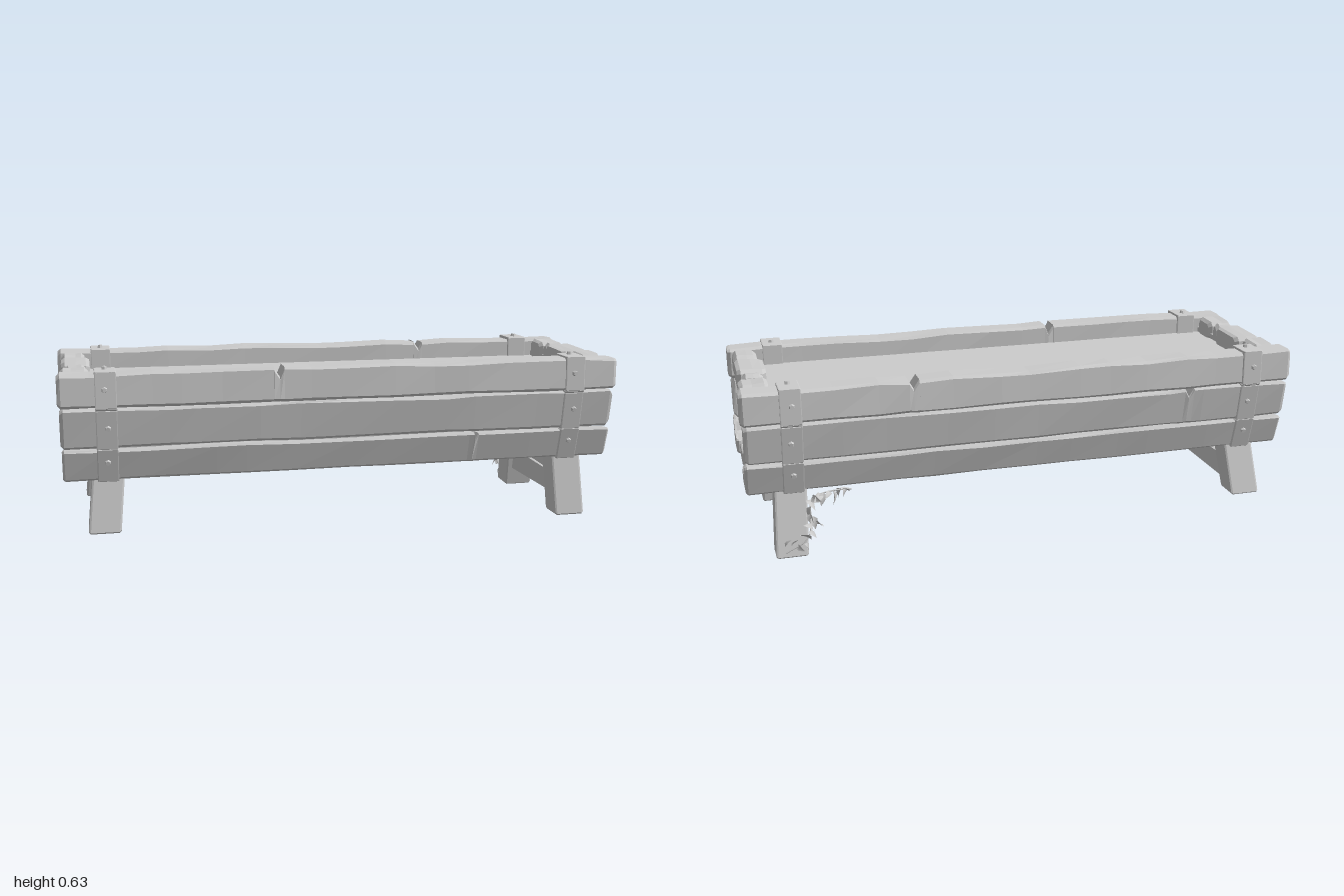
import * as THREE from 'three';

const wood = new THREE.MeshStandardMaterial({ color: 0xcccccc, flatShading: true });
const leafMat = new THREE.MeshStandardMaterial({ color: 0xcccccc, side: THREE.DoubleSide });

let seed = 7;
const rnd = () => (seed = (seed * 16807) % 2147483647) / 2147483647;
const jit = a => (rnd() * 2 - 1) * a;

// Cut each corner of a (z, y) outline, and make it run counter-clockwise
function bevel(profile, c) {
  const p = profile.map(([z, y]) => new THREE.Vector2(z, y));
  if (THREE.ShapeUtils.area(p) < 0) p.reverse();
  const out = [];
  p.forEach((v, i) => {
    for (const n of [p[(i + p.length - 1) % p.length], p[(i + 1) % p.length]]) {
      const d = n.clone().sub(v);
      out.push(v.clone().add(d.setLength(Math.min(c, d.length() * 0.3))));
    }
  });
  return out;
}

// Worn timber: a (z, y) outline lofted along x, with tapered ends, uneven edges and optional notches
function beam(name, profile, x0, x1, { segs = 1, wear = 0, c = 0.006, end = 0.006, notches = [], lean = 0 } = {}) {
  const p = bevel(profile, c);
  const mid = p.reduce((a, v) => a.add(v), new THREE.Vector2()).divideScalar(p.length);
  const xs = [x0, x0 + end, x1 - end, x1];
  for (let i = 1; i < segs; i++) xs.push(x0 + (x1 - x0) * (i + jit(0.25)) / segs);
  notches.forEach(n => xs.push(n - 0.02, n, n + 0.015));
  xs.sort((a, b) => a - b);
  const rows = xs.map(x => {
    const tip = x === x0 || x === x1;
    const dy = jit(wear);
    return p.map(v => {
      const q = v.clone().sub(mid);
      if (tip) q.setLength(Math.max(q.length() - end, 0.002));
      q.add(mid);
      q.x += jit(wear * 0.4);
      q.y += (v.y > mid.y ? dy : -dy * 0.4) + jit(wear * 0.3);
      if (notches.includes(x) && v.y > mid.y) q.y -= 0.03;
      return [x + lean * q.y, q.y, q.x];
    });
  });
  const pos = [];
  const tri = (...t) => t.forEach(v => pos.push(...v));
  const n = p.length;
  for (let s = 0; s + 1 < rows.length; s++) {
    for (let i = 0; i < n; i++) {
      const j = (i + 1) % n, a = rows[s], b = rows[s + 1];
      tri(a[i], b[i], b[j]);
      tri(a[i], b[j], a[j]);
    }
  }
  const last = rows[rows.length - 1];
  for (const [a, b, d] of THREE.ShapeUtils.triangulateShape(p, [])) {
    tri(rows[0][a], rows[0][b], rows[0][d]);
    tri(last[a], last[d], last[b]);
  }
  const g = new THREE.BufferGeometry();
  g.setAttribute('position', new THREE.Float32BufferAttribute(pos, 3));
  g.computeVertexNormals();
  const m = new THREE.Mesh(g, wood);
  m.name = name;
  return m;
}

const rect = (z0, z1, y0, y1) => [[z0, y0], [z1, y0], [z1, y1], [z0, y1]];
const flip = (profile, s) => profile.map(([z, y]) => [z * s, y]);

// Small pointed leaf, folded along its rib and curling down
function leaf(x, y, z, len) {
  const g = new THREE.PlaneGeometry(1, 1, 2, 4);
  const a = g.attributes.position;
  for (let i = 0; i < a.count; i++) {
    const t = a.getY(i) + 0.5, u = a.getX(i);
    const w = Math.sin(Math.PI * Math.pow(t, 0.7)) * 0.6;
    a.setXYZ(i, u * w * len, t * len, (Math.abs(u) * w * 0.5 - t * t * 0.4) * len);
  }
  g.computeVertexNormals();
  const m = new THREE.Mesh(g, leafMat);
  m.name = 'leaf';
  m.position.set(x, y, z);
  m.rotation.set(-1.6 + jit(1), jit(1.4), jit(1.6));
  return m;
}

export function createModel() {
  seed = 7;
  const model = new THREE.Group();
  model.name = 'trough';
  const part = name => {
    const g = new THREE.Group();
    g.name = name;
    model.add(g);
    return g;
  };

  // Long side planks and the bottom corner timbers
  const sides = part('sidePlanks');
  for (const s of [1, -1]) {
    sides.add(
      beam('topPlank', flip([[0.25, 0.493], [0.338, 0.491], [0.335, 0.608], [0.25, 0.608]], s), -1, 1,
        { segs: 14, wear: 0.004, c: 0.01, end: 0.012, notches: s > 0 ? [-0.25] : [0.42] }),
      beam('middlePlank', flip([[0.25, 0.484], [0.331, 0.486], [0.308, 0.35], [0.24, 0.345]], s), -0.995, 0.992,
        { segs: 12, wear: 0.004, c: 0.008, end: 0.012, notches: s > 0 ? [] : [-0.6] }),
      beam('cornerTimber',
        flip([[0.308, 0.343], [0.245, 0.338], [0.225, 0.292], [0.137, 0.292], [0.137, 0.234], [0.275, 0.23]], s),
        -0.992, 0.995, { segs: 12, wear: 0.003, c: 0.008, end: 0.008, notches: s > 0 ? [0.47] : [] }));
  }

  // Floor planks
  const floor = part('floorPlanks');
  floor.add(
    beam('floorPlank', rect(0.003, 0.133, 0.236, 0.29), -0.985, 0.985, { segs: 8, wear: 0.002 }),
    beam('floorPlank', rect(-0.133, -0.003, 0.237, 0.292), -0.975, 0.98, { segs: 8, wear: 0.002 }));

  // End walls: three boards with a row of rough blocks along the rim
  const ends = part('endWalls');
  for (const s of [1, -1]) {
    const span = (name, prof, a, b, o) => ends.add(beam(name, prof, Math.min(s * a, s * b), Math.max(s * a, s * b), o));
    span('endBoard', [[-0.24, 0.29], [0.24, 0.288], [0.25, 0.385], [-0.25, 0.381]], 0.9, 0.955, { c: 0.004 });
    span('endBoard', [[-0.255, 0.388], [0.255, 0.39], [0.26, 0.472], [-0.26, 0.47]], 0.9, 0.96, { c: 0.004 });
    span('endBoard', rect(-0.26, 0.26, 0.478, 0.56), 0.9, 0.95, { c: 0.004 });
    const blocks = [[0.127, 0.242, 0.9, 0.985], [-0.065, 0.121, 0.885, 0.985], [-0.121, -0.071, 0.9, 0.972], [-0.24, -0.126, 0.893, 0.99]];
    for (const [z0, z1, a, b] of blocks) {
      span('rimBlock', flip([[z0, 0.532], [z1, 0.528], [z1 - 0.004, 0.604], [z0 + 0.004, 0.609]], s), a, b,
        { c: 0.014, end: 0.013, segs: 2, wear: 0.003 });
    }
  }

  // Flat filling of the trough
  const fill = new THREE.Mesh(new THREE.BoxGeometry(1.82, 0.25, 0.51), wood);
  fill.name = 'filling';
  fill.position.y = 0.415;
  model.add(fill);

  // Straps folded over the rim, with bolts
  const straps = part('straps');
  const bolt = (x, y, z, tilt) => {
    const m = new THREE.Mesh(new THREE.CylinderGeometry(0.008, 0.012, 0.014, 6), wood);
    m.name = 'bolt';
    m.position.set(x, y, z);
    m.rotation.x = tilt;
    straps.add(m);
  };
  const outer = [[0.343, 0.614], [0.346, 0.49], [0.338, 0.482], [0.315, 0.345], [0.282, 0.226]];
  for (const x of [-0.84, 0.835]) {
    for (const s of [1, -1]) {
      const strip = prof => straps.add(beam('strap', flip(prof, s), x - 0.036, x + 0.036, { c: 0.002, end: 0.003 }));
      strip(rect(0.243, 0.343, 0.595, 0.616));
      strip(rect(0.241, 0.255, 0.53, 0.614));
      for (let i = 0; i + 1 < outer.length; i++) {
        const [a, b] = [outer[i], outer[i + 1]];
        strip([a, b, [b[0] - 0.03, b[1]], [a[0] - 0.03, a[1]]]);
      }
      bolt(x, 0.619, s * 0.28, 0);
      bolt(x - 0.004, 0.555, s * 0.347, s * Math.PI / 2);
      bolt(x + 0.004, 0.42, s * 0.33, s * 1.75);
      bolt(x, 0.298, s * 0.304, s * 1.8);
    }
  }

  // Splayed legs joined by two rails under each end
  const legs = part('legs');
  for (const s of [1, -1]) {
    const x = s * 0.85, foot = s > 0 ? 0.01 : 0.045, lean = s > 0 ? -0.05 : 0.1;
    const x0 = x - 0.055 - lean * 0.13, x1 = x + 0.055 - lean * 0.13;
    legs.add(
      beam('frontLeg', [[0.165, 0.245], [0.26, 0.245], [0.297, foot], [0.2, foot]], x0, x1, { lean, c: 0.005 }),
      beam('backLeg', [[-0.168, 0.245], [-0.268, 0.245], [-0.32, s > 0 ? 0.004 : foot], [-0.228, s > 0 ? 0 : foot]],
        x0, x1, { lean, c: 0.004 }),
      beam('lowerRail', [[0.24, 0.077], [-0.25, 0.073], [-0.23, 0.162], [0.22, 0.152]], x - 0.03, x + 0.03),
      beam('upperRail', [[0.22, 0.16], [-0.22, 0.173], [-0.2, 0.238], [0.2, 0.238]], x - 0.035, x + 0.025));
  }

  // Ivy creeping around the back leg
  const ivy = part('ivy');
  const path = new THREE.CatmullRomCurve3([
    [0.64, 0.222, -0.285], [0.72, 0.225, -0.295], [0.78, 0.2, -0.29], [0.785, 0.13, -0.3], [0.8, 0.07, -0.318], [0.88, 0.025, -0.325],
  ].map(p => new THREE.Vector3(...p)));
  const stem = new THREE.Mesh(new THREE.TubeGeometry(path, 24, 0.0025, 5), leafMat);
  stem.name = 'stem';
  ivy.add(stem);
  for (let i = 0; i < 20; i++) {
    const p = path.getPoint(i / 19);
    ivy.add(leaf(p.x + jit(0.015), Math.max(p.y + jit(0.01), 0.05), p.z - 0.004, 0.03 + rnd() * 0.02));
  }
  return model;
}
